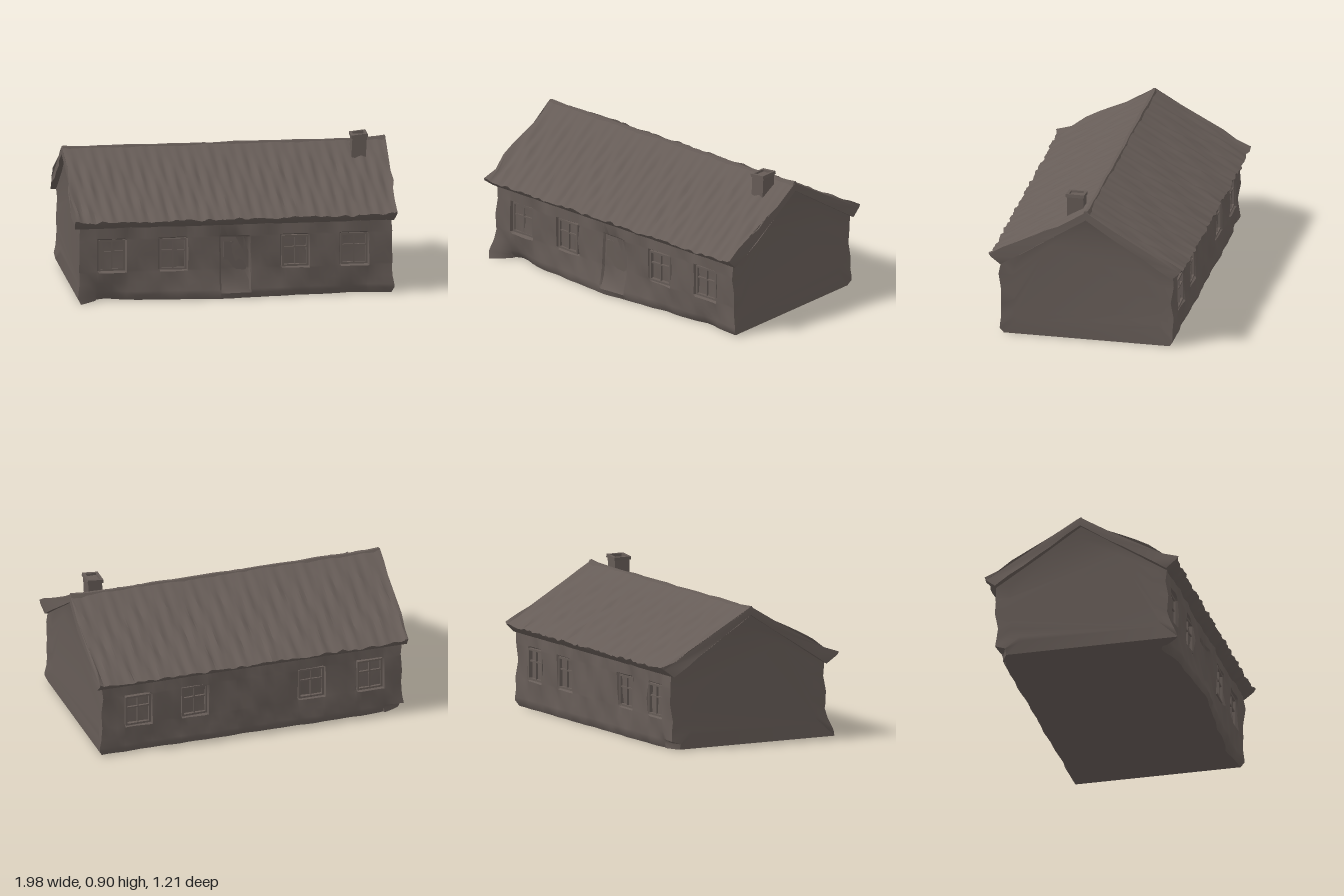
import * as THREE from 'three';
import { toCreasedNormals } from 'three/addons/utils/BufferGeometryUtils.js';

const stone = new THREE.MeshStandardMaterial({ color: 0x665c57 });
stone.name = 'weathered brown';

// Smooth repeatable unevenness, roughly -1..1
const wobble = (a, b, s = 0) =>
  (Math.sin(a * 7.3 + b * 5.1 + s) + Math.sin(a * 17.7 - b * 9.4 + s * 2.3) + Math.sin(a * 31.1 + b * 13.7 + s * 3.1)) / 3;
// Soft bump of height 1 around a centre
const bump = (v, centre, width) => Math.max(0, 1 - Math.abs(v - centre) / width);

// Lofts a closed [z, y] outline (anticlockwise) along x; bend moves each vertex by a rule
function loft(outline, xs, bend, crease = 0.7) {
  const n = outline.length, pos = [], index = [];
  for (const x of xs) for (const [z, y] of outline) pos.push(...bend(x, y, z));
  for (let i = 0; i < xs.length - 1; i++) {
    for (let j = 0; j < n; j++) {
      const a = i * n + j, b = i * n + (j + 1) % n;
      index.push(a, a + n, b, b, a + n, b + n);
    }
  }
  const last = (xs.length - 1) * n;
  const caps = THREE.ShapeUtils.triangulateShape(outline.map(([z, y]) => new THREE.Vector2(z, y)), []);
  for (const [a, b, c] of caps) index.push(a, b, c, last + a, last + c, last + b);
  const geo = new THREE.BufferGeometry();
  geo.setAttribute('position', new THREE.Float32BufferAttribute(pos, 3));
  geo.setIndex(index);
  return toCreasedNormals(geo, crease);
}

function add(parent, name, geo, x = 0, y = 0, z = 0) {
  const m = new THREE.Mesh(geo, stone);
  m.name = name;
  m.position.set(x, y, z);
  parent.add(m);
  return m;
}

const range = (a, b, n) => Array.from({ length: n + 1 }, (_, i) => a + (b - a) * i / n);

// Openings: centre x, half width, bottom, top, side of the house
const openings = [];
for (const x of [-0.75, -0.38, 0.36, 0.72]) {
  for (const side of [1, -1]) openings.push({ x, w: 0.085, lo: 0.18, hi: 0.38, side, depth: 0.024 });
}
openings.push({ x: -0.005, w: 0.09, lo: 0.05, hi: 0.38, side: 1, depth: 0.012, door: true });

// How far a long wall swells outward at a point
function swell(x, y, side) {
  const low = Math.max(0, 1 - y / 0.16);
  let d = 0.013 * wobble(x * 1.2, y * 2.5, side) * (1 - low * 0.5);
  // Front footing swells in the middle, pinches in near the ends and spreads at one corner
  if (side > 0) d += low * (0.045 * bump(x, -0.1, 0.5) - 0.055 * bump(x, -0.78, 0.16) - 0.03 * bump(x, 0.72, 0.2) + 0.07 * bump(x, -0.95, 0.11));
  return d;
}

function walls() {
  // Extra columns and rows beside each opening give the recesses firm edges
  const xs = new Set(range(-0.95, 0.95, 38).map(v => +v.toFixed(3)));
  for (const o of openings) for (const s of [-1, 1]) for (const d of [-0.006, 0.006]) xs.add(+(o.x + s * o.w + d).toFixed(3));
  const ys = [0, 0.035, 0.056, 0.11, 0.174, 0.186, 0.28, 0.374, 0.386, 0.47];
  const outline = [...ys.map(y => [0.53, y]), [0.27, 0.648], [0, 0.805], [-0.27, 0.648], ...ys.map(y => [-0.53, y]).reverse()];
  const bend = (x, y, z) => {
    const side = Math.sign(z), end = Math.abs(x) > 0.94, inner = Math.abs(x) > 0.96;
    let zz = z, yy = y, xx = x;
    if (Math.abs(z) > 0.5) {
      zz += side * swell(x, y, side);
      if (y === 0 && x > -0.85) zz -= side * 0.02;
      // Back corner of the footing is cut away
      if (side < 0 && y < 0.05) zz += 0.07 * bump(x, -0.97, 0.15);
      const hole = openings.find(o => o.side === side && Math.abs(x - o.x) < o.w && y > o.lo && y < o.hi);
      if (hole) zz -= side * hole.depth;
    }
    if (end) {
      const ledge = y > 0.02 && y < 0.1 ? 0.014 : 0;
      xx = Math.sign(x) * (0.95 + 0.008 * wobble(y * 2, z, 2) + ledge + (y > 0.6 ? 0.012 : 0));
    }
    // Slightly dished centre of each gable
    if (inner) {
      xx = Math.sign(x) * 0.942;
      zz *= 0.84;
      yy = 0.38 + (y - 0.38) * 0.78;
    }
    return [xx, yy, zz];
  };
  return loft(outline, [-0.97, ...[...xs].sort((a, b) => a - b), 0.97], bend);
}

function roof() {
  const top = range(0, 1, 7).map(t => [-0.595 * t, 0.835 - 0.335 * t]);
  const under = range(0, 1, 6).map(t => [-0.53 + 0.53 * t, 0.45 + 0.34 * t]);
  const half = [...top, [-0.585, 0.488], ...under];
  const mirror = half.slice(1, -1).reverse().map(([z, y]) => [-z, y]);
  const bend = (x, y, z) => {
    const t = Math.abs(z) / 0.6, s = Math.sign(z);
    const isTop = y > 0.815 - 0.55 * Math.abs(z);
    // Narrow streaks run down the slopes, leaning a little
    const streak = Math.sin(x * 61 + t * 5 + s) * 0.4 + Math.sin(x * 97 - t * 7) * 0.4 + wobble(x * 1.5, z * 3, s) * 0.7;
    let yy = y + (isTop ? 0.013 * streak * Math.min(1, t * 4) * (t > 0.9 ? 0.4 : 1) : 0);
    let xx = x, zz = z;
    if (t > 0.92) {
      zz += s * 0.01 * wobble(x * 2.5, y, s);
      yy += 0.007 * wobble(x * 2.2, 1, s * 2) + 0.016 * bump(Math.abs(x), 1, 0.12);
      // One eave corner juts out
      if (s > 0) zz += 0.02 * bump(x, -0.98, 0.06);
    }
    if (Math.abs(x) > 0.96) {
      xx += Math.sign(x) * 0.014 * wobble(z * 2, y, x);
      if (isTop) yy += 0.006;
    }
    return [xx, yy, zz];
  };
  return loft([...half, ...mirror], range(-0.98, 0.975, 110), bend, 0.8);
}

function ridge() {
  const outline = [[0.024, 0.81], [0.008, 0.837], [-0.008, 0.837], [-0.024, 0.81]];
  const bend = (x, y, z) => [x, y + 0.004 * wobble(x, 0) + 0.014 * bump(x, 0.98, 0.1) + 0.004 * bump(x, -0.98, 0.1), z + 0.004 * wobble(x, 2)];
  return loft(outline, range(-0.98, 0.975, 30), bend, 0.5);
}

// Sunken pane frame with a cross of glazing bars, or a plain door leaf
function openingFill(o) {
  const g = new THREE.Group();
  g.name = o.door ? 'door' : 'window';
  const h = o.hi - o.lo, mid = (o.hi + o.lo) / 2;
  g.position.set(o.x, mid, o.side * (0.512 + swell(o.x, mid, o.side)));
  // Turn the filling to follow the uneven wall
  g.rotation.y = -o.side * Math.atan((swell(o.x + o.w, mid, o.side) - swell(o.x - o.w, mid, o.side)) / (2 * o.w));
  if (o.door) {
    add(g, 'doorLeaf', new THREE.BoxGeometry(0.14, h - 0.05, 0.02), 0, -0.01, 0);
    return g;
  }
  for (const s of [-1, 1]) {
    add(g, 'frameSide', new THREE.BoxGeometry(0.012, h - 0.012, 0.024), s * (o.w - 0.01), 0, 0);
    add(g, 'frameRail', new THREE.BoxGeometry(o.w * 2 - 0.012, 0.012, 0.024), 0, s * (h / 2 - 0.01), 0);
  }
  add(g, 'glazingBar', new THREE.BoxGeometry(0.009, h - 0.02, 0.014), 0, 0, 0);
  add(g, 'crossBar', new THREE.BoxGeometry(o.w * 2 - 0.02, 0.009, 0.014), 0, 0.02, 0);
  return g;
}

function chimney() {
  const g = new THREE.Group();
  g.name = 'chimney';
  g.position.set(0.8, 0, 0.093);
  // Stack, leaning a little
  const stack = new THREE.BoxGeometry(0.088, 0.16, 0.1, 1, 2, 1);
  const p = stack.attributes.position;
  for (let i = 0; i < p.count; i++) p.setX(i, p.getX(i) + 0.05 * p.getY(i));
  stack.computeVertexNormals();
  add(g, 'chimneyStack', stack, 0, 0.796, 0);
  // Open rim
  const rect = (w, d) => [[-w, -d], [w, -d], [w, d], [-w, d]].map(c => new THREE.Vector2(...c));
  const rim = new THREE.Shape(rect(0.05, 0.057));
  rim.holes.push(new THREE.Path(rect(0.034, 0.04).reverse()));
  const rimGeo = new THREE.ExtrudeGeometry(rim, { depth: 0.02, bevelEnabled: false });
  rimGeo.rotateX(-Math.PI / 2);
  add(g, 'chimneyRim', rimGeo, 0.004, 0.872, 0).rotation.z = 0.1;
  return g;
}

export function createModel() {
  const house = new THREE.Group();
  house.name = 'cottage';
  add(house, 'walls', walls());
  add(house, 'roof', roof());
  add(house, 'ridge', ridge());
  for (const o of openings) house.add(openingFill(o));
  house.add(chimney());
  return house;
}
